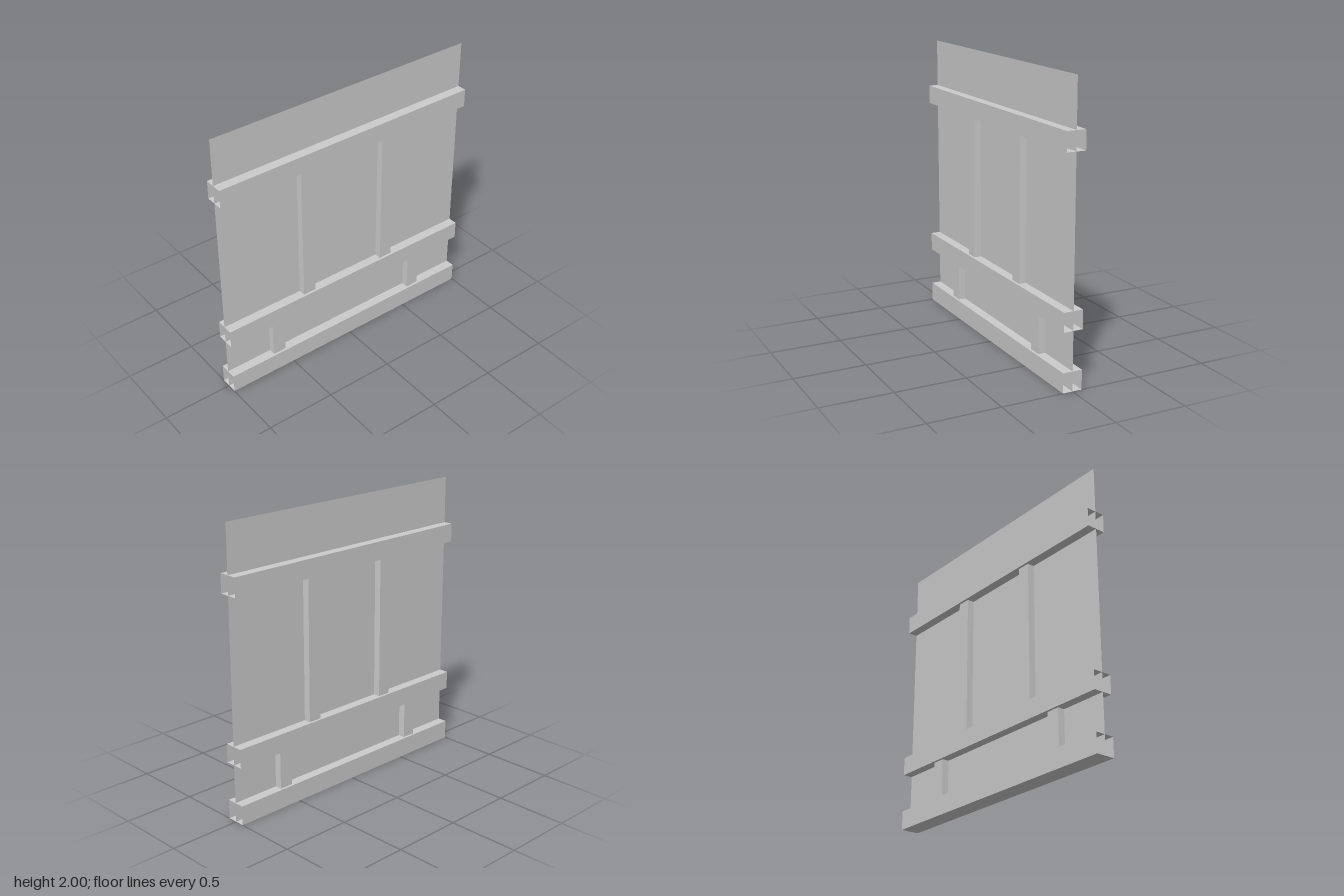
import * as THREE from 'three';

const material = new THREE.MeshStandardMaterial({ color: 0xcccccc, side: THREE.DoubleSide });

// Four-sided hollow sleeve: a box without the two end faces across the given axis
function sleeve(width, height, depth, openAxis) {
  const geometry = new THREE.BoxGeometry(width, height, depth);
  const index = Array.from(geometry.index.array);
  index.splice(openAxis === 'x' ? 0 : 12, 12);
  geometry.setIndex(index);
  geometry.clearGroups();
  return geometry;
}

export function createModel() {
  const model = new THREE.Group();
  model.name = 'panelledWall';

  function add(name, geometry, x, y) {
    const mesh = new THREE.Mesh(geometry, material);
    mesh.name = name;
    mesh.position.set(x, y, 0);
    model.add(mesh);
  }

  // Thin sheet filling the frame
  add('panel', new THREE.PlaneGeometry(2, 2), 0, 1);

  // Horizontal rails, open at both ends
  const rails = [['bottomRail', 0, 0.135], ['middleRail', 0.405, 0.535], ['topRail', 1.54, 1.67]];
  for (const [name, y0, y1] of rails) {
    add(name, sleeve(2, y1 - y0, 0.135, 'x'), 0, (y0 + y1) / 2);
  }

  // Mirrored pairs of posts between the rails
  const posts = [['lowerPost', 0.602, 0.135, 0.405], ['upperPost', 0.334, 0.535, 1.54]];
  for (const [name, x, y0, y1] of posts) {
    for (const side of [1, -1]) {
      add(name + (side > 0 ? 'Left' : 'Right'), sleeve(0.098, y1 - y0, 0.1, 'y'), side * x, (y0 + y1) / 2);
    }
  }

  return model;
}
